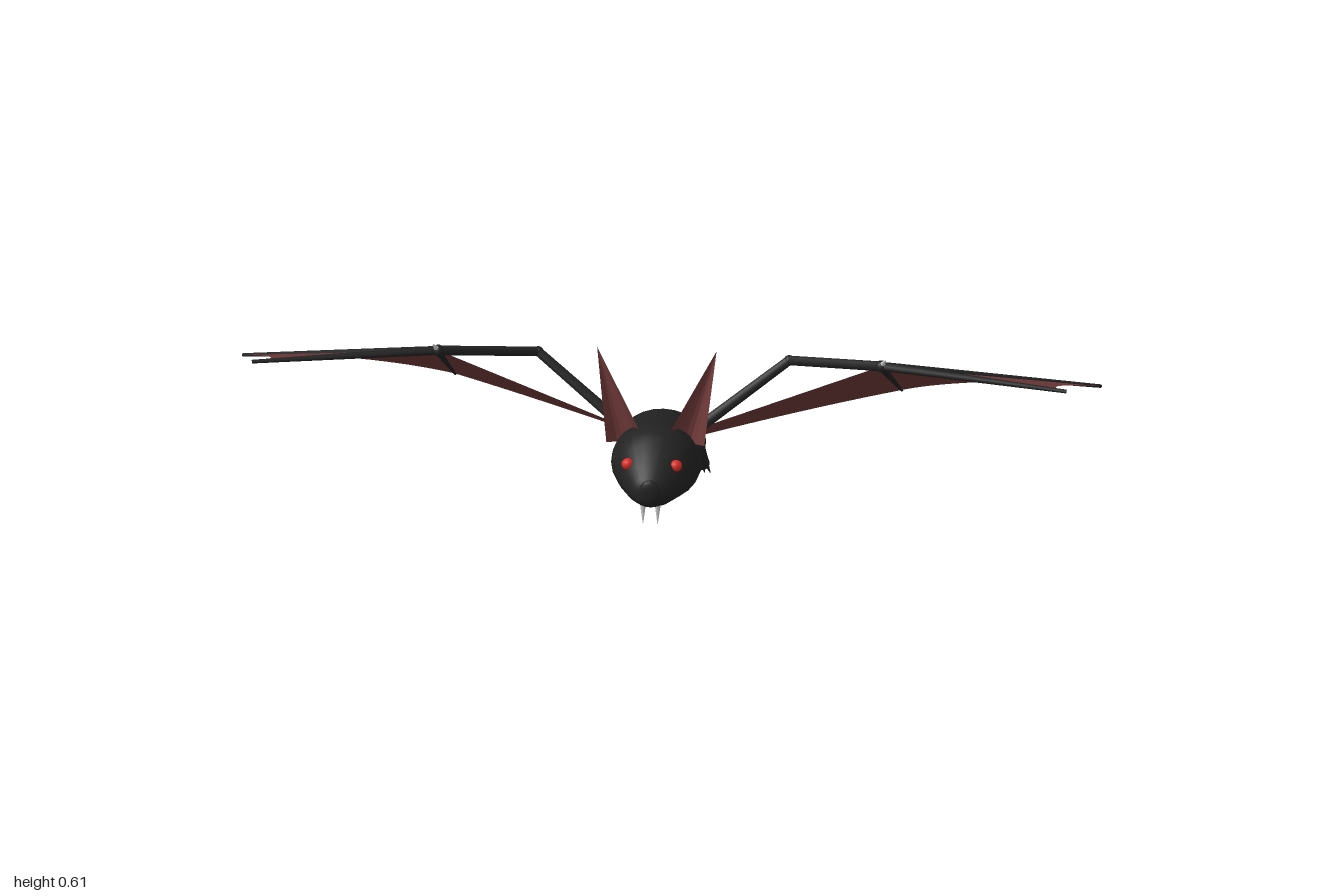
import * as THREE from 'three';

const V = (x, y, z) => new THREE.Vector3(x, y, z);
const mat = (name, color, side = THREE.FrontSide) =>
  Object.assign(new THREE.MeshStandardMaterial({ color, side }), { name });

export function createModel() {
  const fur = mat('black fur', 0x222222);
  const skin = mat('wing skin', 0x6e3838, THREE.DoubleSide);
  const pink = mat('pink tail', 0xe08080);
  const red = mat('red eye', 0xd42a22);
  const bone = mat('pale claw', 0xc8c8c8);
  const group = new THREE.Group();

  const add = (name, geo, material, parent = group) => {
    const m = new THREE.Mesh(geo, material);
    m.name = name;
    parent.add(m);
    return m;
  };
  // Tapered rod between two points
  const rod = (name, a, b, ra, rb, material, parent, sides = 8) => {
    const d = b.clone().sub(a);
    const m = add(name, new THREE.CylinderGeometry(rb, ra, d.length(), sides), material, parent);
    m.position.copy(a).add(b).multiplyScalar(0.5);
    m.quaternion.setFromUnitVectors(V(0, 1, 0), d.normalize());
    return m;
  };
  const ball = (name, p, rx, ry, rz, material, parent) => {
    const m = add(name, new THREE.SphereGeometry(1, 16, 12), material, parent);
    m.scale.set(rx, ry, rz);
    m.position.copy(p);
    return m;
  };
  // Loose triangles from a list of points
  const tris = points => {
    const g = new THREE.BufferGeometry().setFromPoints(points);
    g.computeVertexNormals();
    return g;
  };

  // Body and head: oval sections as z, top, bottom, half width
  const rows = [
    [0.386, 0.357, 0.355, 0.001], [0.385, 0.375, 0.335, 0.02], [0.37, 0.39, 0.318, 0.04],
    [0.34, 0.412, 0.302, 0.06], [0.3, 0.438, 0.285, 0.08], [0.27, 0.448, 0.274, 0.091],
    [0.24, 0.45, 0.259, 0.098], [0.2, 0.443, 0.236, 0.1], [0.14, 0.417, 0.213, 0.1],
    [0.08, 0.403, 0.207, 0.1], [0.01, 0.372, 0.21, 0.099], [-0.06, 0.33, 0.213, 0.083],
    [-0.1, 0.297, 0.224, 0.064], [-0.125, 0.272, 0.232, 0.038], [-0.13, 0.252, 0.25, 0.001],
  ];
  const n = 24, pts = [], index = [];
  rows.forEach(([z, top, bottom, rx], i) => {
    for (let j = 0; j < n; j++) {
      const t = (j / n) * Math.PI * 2;
      pts.push(V(rx * Math.cos(t), (top + bottom) / 2 + (top - bottom) / 2 * Math.sin(t), z));
      if (i === rows.length - 1) continue;
      const a = i * n + j, b = i * n + (j + 1) % n;
      index.push(a, a + n, b, b, a + n, b + n);
    }
  });
  const bodyGeo = new THREE.BufferGeometry().setFromPoints(pts);
  bodyGeo.setIndex(index);
  bodyGeo.computeVertexNormals();
  add('body', bodyGeo, fur);
  ball('nose', V(0, 0.36, 0.38), 0.024, 0.03, 0.011, fur);

  // Tail: pale collar and pink capsule
  rod('tailCollar', V(0, 0.275, -0.1), V(0, 0.19, -0.17), 0.035, 0.035, bone, group, 16);
  const tail = add('tail', new THREE.CapsuleGeometry(0.065, 0.132, 6, 16), pink);
  tail.position.set(0, 0.1175, -0.225);
  tail.quaternion.setFromUnitVectors(V(0, 1, 0), V(0, 0.105, 0.08).normalize());

  for (const s of [1, -1]) {
    const side = new THREE.Group();
    side.name = s > 0 ? 'leftSide' : 'rightSide';
    group.add(side);
    const P = (x, y, z) => V(s * x, y, z);

    // Face
    ball('eye', P(0.052, 0.397, 0.323), 0.014, 0.013, 0.013, red, side);
    rod('fang', P(0.016, 0.325, 0.362), P(0.016, 0.275, 0.366), 0.007, 0.0005, bone, side);

    // Ear: hollow half cone, black behind and skin inside
    const tip = P(0.13, 0.612, 0.193);
    const rim = new THREE.CatmullRomCurve3([
      P(0.025, 0.425, 0.25), P(0.045, 0.405, 0.215), P(0.078, 0.392, 0.206), P(0.108, 0.402, 0.234),
    ]).getPoints(8);
    const front = [], back = [];
    for (let i = 0; i < 8; i++) {
      const [a, b] = s > 0 ? [rim[i], rim[i + 1]] : [rim[i + 1], rim[i]];
      back.push(tip, b, a);
      const f = V(0, 0, 0.004);
      front.push(tip, a.clone().add(f), b.clone().add(f));
    }
    add('earBack', tris(back), fur, side);
    add('earInside', tris(front), skin, side);

    // Wing bones
    const shoulder = P(0.08, 0.37, 0.105), elbow = P(0.285, 0.515, 0.026), wrist = P(0.487, 0.575, 0.162);
    const tips = [P(0.872, 0.592, 0.285), P(0.994, 0.446, -0.04), P(0.853, 0.322, -0.3), P(0.562, 0.241, -0.39)];
    rod('upperArm', shoulder, elbow, 0.013, 0.011, fur, side);
    ball('elbow', elbow, 0.012, 0.012, 0.012, fur, side);
    rod('forearm', elbow, wrist, 0.011, 0.011, fur, side);
    ball('wrist', wrist, 0.013, 0.013, 0.013, fur, side);
    rod('thumbClaw', wrist, P(0.495, 0.597, 0.178), 0.009, 0.001, bone, side);
    tips.forEach(t => rod('finger', wrist, t, 0.01, 0.004, fur, side));

    // Wing skin: fans from the wrist to a scalloped edge
    const edge = [...tips, P(0.06, 0.222, -0.135)];
    const web = [];
    for (let i = 0; i < 4; i++) {
      const sag = i === 3 ? 0.12 : 0.25;
      const mid = edge[i].clone().lerp(edge[i + 1], 0.5).lerp(wrist, sag);
      const curve = new THREE.QuadraticBezierCurve3(edge[i], mid, edge[i + 1]).getPoints(10);
      for (let k = 0; k < 10; k++) web.push(wrist, curve[k], curve[k + 1]);
    }
    web.push(wrist, edge[4], P(0.08, 0.375, 0.112));
    add('wingSkin', tris(web), skin, side);

    // Leg and toes
    const foot = P(0.08, 0.14, -0.158);
    rod('leg', P(0.065, 0.26, -0.06), foot, 0.021, 0.017, fur, side, 12);
    ball('foot', foot, 0.018, 0.018, 0.018, fur, side);
    for (const o of [-0.014, 0, 0.014])
      rod('toe', P(0.08 + o * 0.7, 0.138, -0.16), P(0.085 + o, 0.104, -0.176), 0.006, 0.001, fur, side, 6);
  }
  return group;
}
